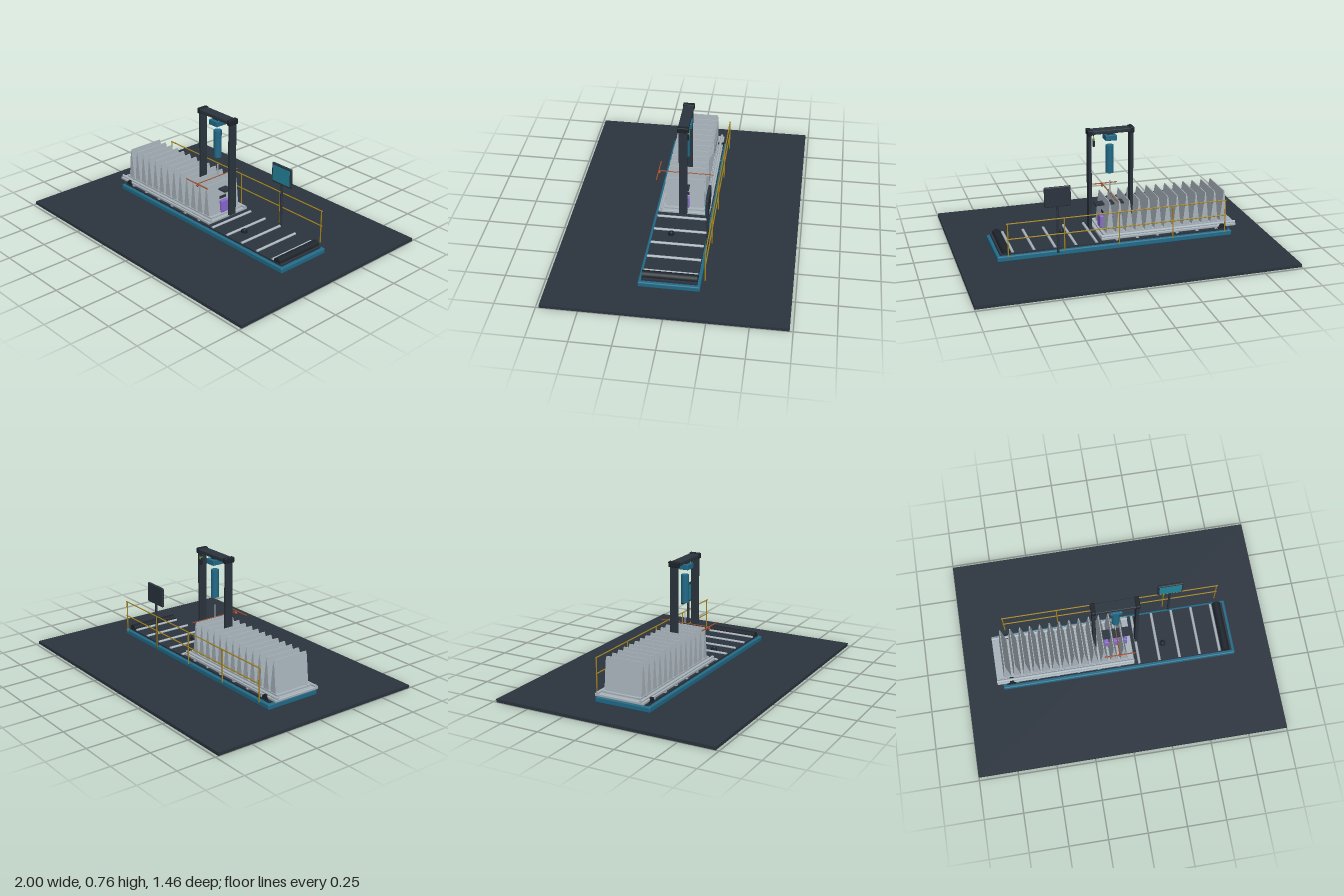
import * as THREE from 'three';
import { RoundedBoxGeometry } from 'three/addons/geometries/RoundedBoxGeometry.js';

const mat = (color) => new THREE.MeshStandardMaterial({ color });
const dark = mat(0x2b343e), black = mat(0x1d242b), teal = mat(0x226b88), silver = mat(0xa9b4bc);
const yellow = mat(0xa8851c), orange = mat(0xa4532c), purple = mat(0x8a68d0);
const screenTeal = mat(0x23849b), green = mat(0x8fc23a), red = mat(0xb8432f);

export function createModel() {
  const model = new THREE.Group();

  const add = (name, geometry, material, x, y, z) => {
    const mesh = new THREE.Mesh(geometry, material);
    mesh.name = name;
    mesh.position.set(x, y, z);
    model.add(mesh);
    return mesh;
  };
  // Box given by its limits, optionally with rounded edges
  const box = (name, m, x0, x1, y0, y1, z0, z1, r = 0) => {
    const s = [x1 - x0, y1 - y0, z1 - z0];
    const g = r ? new RoundedBoxGeometry(...s, 3, r) : new THREE.BoxGeometry(...s);
    return add(name, g, m, (x0 + x1) / 2, (y0 + y1) / 2, (z0 + z1) / 2);
  };
  // Cylinder along the given axis
  const rod = (name, m, axis, r, length, x, y, z, sides = 16) => {
    const g = new THREE.CylinderGeometry(r, r, length, sides);
    if (axis === 'x') g.rotateZ(Math.PI / 2);
    if (axis === 'z') g.rotateX(Math.PI / 2);
    return add(name, g, m, x, y, z);
  };

  // Floor and conveyor bed
  box('floor', dark, -1, 1, 0, 0.02, -0.73, 0.73);
  box('bedBase', teal, -0.765, 0.765, 0.02, 0.055, -0.187, 0.187, 0.007);
  box('bedBelt', dark, -0.745, 0.745, 0.053, 0.067, -0.168, 0.168);
  for (const x of [-0.705, 0.705]) rod('endRoller', black, 'z', 0.026, 0.335, x, 0.071, 0, 24);
  for (let i = 0; i < 11; i++) {
    rod('beltRoller', silver, 'z', 0.009, 0.33, -0.668 + i * 0.1333, 0.069, 0);
  }

  // Carriage with side rails
  box('carriagePlate', silver, -0.8, 0.1, 0.075, 0.093, -0.165, 0.165, 0.004);
  for (const s of [-1, 1]) {
    rod('carriageRail', silver, 'x', 0.009, 0.9, -0.35, 0.097, s * 0.147);
    box('carriageTrack', silver, -0.77, 0.08, 0.09, 0.105, s * 0.118 - 0.012, s * 0.118 + 0.012);
  }
  box('carriageDeck', silver, -0.77, 0.08, 0.09, 0.103, -0.12, 0.12);

  // Row of wedge fins with clipped corners at the top
  const wedge = new THREE.BoxGeometry(1, 1, 1, 1, 8, 1).toNonIndexed();
  const p = wedge.attributes.position;
  for (let i = 0; i < p.count; i++) {
    const t = p.getY(i) + 0.5;
    p.setXYZ(i, p.getX(i) * (0.05 - 0.045 * t), t * 0.208, p.getZ(i) * (t > 0.95 ? 0.242 : 0.252));
  }
  wedge.computeVertexNormals();
  for (let i = 0; i < 13; i++) add('fin', wedge, silver, -0.728 + i * 0.0635, 0.1, 0);

  // Workpiece clamp between the last fins
  box('clampBody', purple, -0.077, 0.072, 0.103, 0.185, -0.03, 0.03, 0.006);
  for (const x of [-0.035, 0.035]) box('clampJaw', dark, x - 0.014, x + 0.014, 0.18, 0.212, -0.028, 0.028);
  box('clampPlate', dark, -0.1, 0.1, 0.256, 0.267, -0.03, 0.03);
  rod('clampStem', dark, 'y', 0.01, 0.06, 0, 0.23, 0);

  // Gantry
  for (const x of [-0.138, 0.133]) {
    box('gantryPost', dark, x - 0.01, x + 0.01, 0.108, 0.735, -0.026, 0.026, 0.003);
    box('postCap', black, x - 0.014, x + 0.014, 0.722, 0.757, -0.036, 0.036, 0.005);
  }
  box('gantryBeam', dark, -0.148, 0.145, 0.728, 0.752, -0.033, 0.033, 0.004);
  box('liftMotor', teal, -0.036, 0.036, 0.683, 0.717, -0.04, 0.04, 0.003);
  box('motorMount', dark, -0.02, 0.02, 0.715, 0.73, -0.02, 0.02);
  rod('liftCylinder', teal, 'y', 0.025, 0.18, 0, 0.555, 0, 24);
  rod('plunger', silver, 'y', 0.004, 0.08, 0, 0.37, 0);

  // Hanging control pendant
  box('pendant', black, 0.103, 0.117, 0.652, 0.7, -0.034, -0.02, 0.002);
  rod('pendantCable', black, 'y', 0.003, 0.035, 0.11, 0.715, -0.027, 8);
  box('pendantLight', green, 0.105, 0.115, 0.69, 0.704, -0.036, -0.018);

  // Sensor crossbar
  rod('sensorArm', orange, 'z', 0.003, 0.35, 0, 0.328, 0, 8);
  rod('sensorBar', orange, 'x', 0.004, 0.2, 0, 0.33, 0.174, 8);
  add('sensorKnob', new THREE.SphereGeometry(0.009, 16, 12), red, 0, 0.317, 0.17);

  // Display on a stand
  rod('displayPost', dark, 'y', 0.008, 0.31, 0.385, 0.195, -0.186);
  box('displayCase', dark, 0.302, 0.468, 0.345, 0.474, -0.196, -0.179, 0.006);
  box('displayPanel', screenTeal, 0.313, 0.457, 0.357, 0.462, -0.182, -0.177);

  // Stop button on the belt
  rod('stopBase', black, 'y', 0.02, 0.016, 0.305, 0.074, 0.052);
  add('stopButton', new THREE.SphereGeometry(0.013, 16, 10), black, 0.305, 0.08, 0.052);

  // Guard rail along the back
  for (const y of [0.175, 0.275]) rod('guardRail', yellow, 'x', 0.004, 1.42, 0, y, -0.21, 8);
  for (let i = 0; i < 5; i++) rod('guardPost', yellow, 'y', 0.004, 0.215, -0.705 + i * 0.3515, 0.1675, -0.21, 8);

  return model;
}
